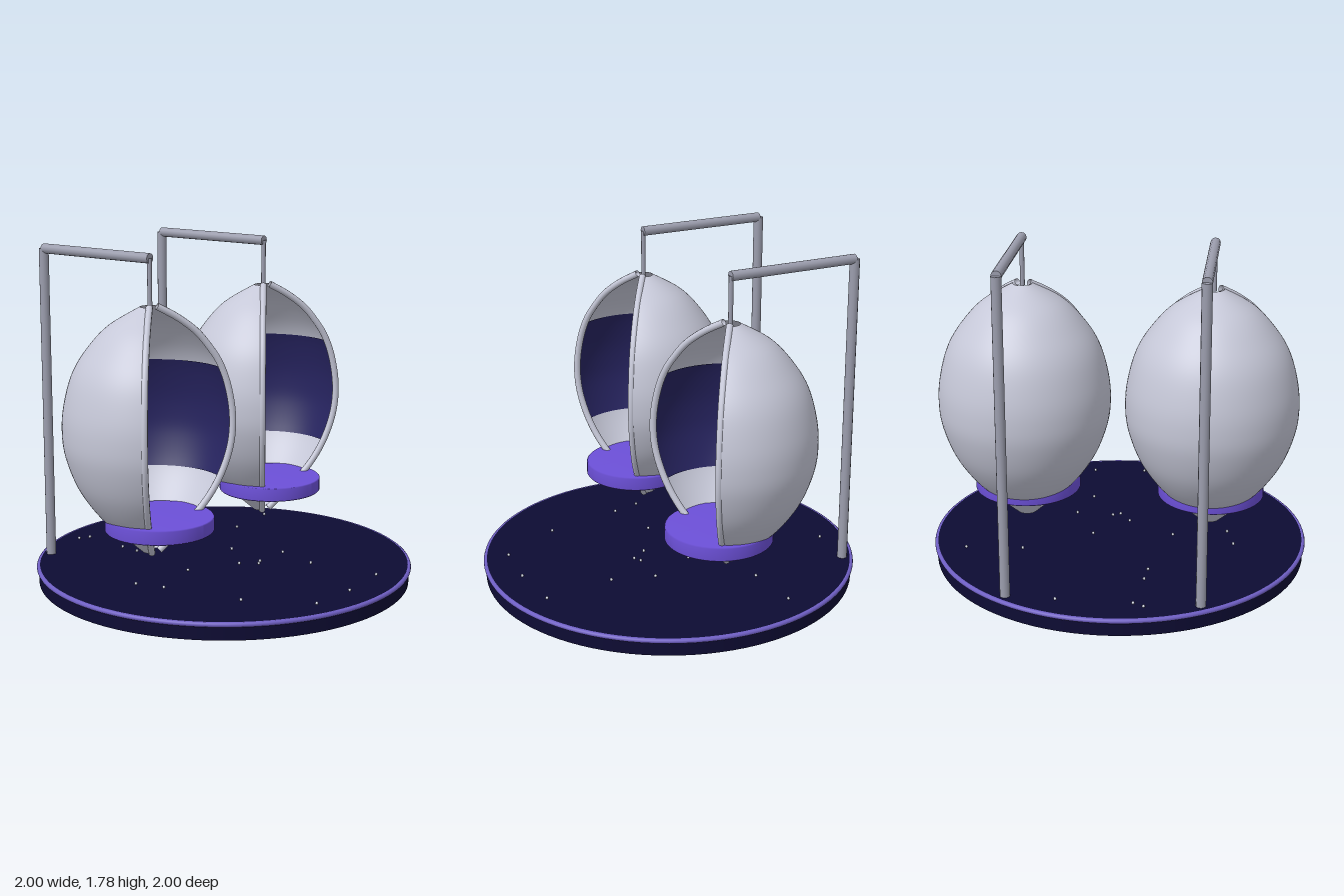
import * as THREE from 'three';

const mat = (name, color, side = THREE.FrontSide) => {
  const m = new THREE.MeshStandardMaterial({ color, side });
  m.name = name;
  return m;
};

export function createModel() {
  const shellGrey = mat('pale shell grey', 0xc6c8d8, THREE.DoubleSide);
  const metal = mat('brushed metal', 0x9c9eae);
  const violet = mat('violet cushion', 0x6c50d8);
  const padding = mat('indigo padding', 0x26235f, THREE.DoubleSide);
  const navy = mat('night navy', 0x0d0b33);
  const rimPurple = mat('rim purple', 0x6f5fc4);
  const starWhite = mat('star white', 0xd4d8e6);

  const model = new THREE.Group();
  model.name = 'hangingPodChairs';
  const add = (parent, name, geometry, material, x = 0, y = 0, z = 0) => {
    const mesh = new THREE.Mesh(geometry, material);
    mesh.name = name;
    mesh.position.set(x, y, z);
    parent.add(mesh);
    return mesh;
  };

  // Round platform with a thin rounded rim
  add(model, 'platform', new THREE.CylinderGeometry(0.988, 0.988, 0.092, 96), navy, 0, 0.046, 0);
  const rim = new THREE.TorusGeometry(0.987, 0.013, 10, 96).rotateX(Math.PI / 2);
  add(model, 'platformRim', rim, rimPurple, 0, 0.08, 0);

  // Small star studs scattered over the platform
  const stars = [
    [-0.21, -0.85], [-0.155, -0.82], [0.235, -0.82], [-0.185, -0.555], [-0.195, -0.445],
    [-0.04, 0.13], [0.02, 0.215], [0.06, 0.195], [0.26, 0.205], [0.195, 0.43],
    [-0.5, 0.475], [-0.32, 0.805], [-0.055, 0.83], [0.235, 0.81],
    [-0.62, -0.1], [-0.58, 0.05], [-0.29, -0.02], [0.14, -0.05], [0.49, -0.27], [0.79, -0.29],
  ];
  const starGeometry = new THREE.SphereGeometry(0.008, 8, 6);
  stars.forEach(([x, z]) => add(model, 'starStud', starGeometry, starWhite, x, 0.099, z));

  // Egg profile, radius against height
  const profile = new THREE.SplineCurve([
    [0.05, 0.24], [0.185, 0.36], [0.285, 0.46], [0.378, 0.6], [0.436, 0.76], [0.45, 0.89],
    [0.438, 1.02], [0.396, 1.17], [0.325, 1.29], [0.215, 1.41], [0.05, 1.51],
  ].map(([r, y]) => new THREE.Vector2(r, y))).getPoints(60);

  // The shell is open at the front by this angle on each side
  const half = 0.965;
  const sweep = Math.PI * 2 - half * 2;
  const shellGeometry = new THREE.LatheGeometry(profile, 64, half, sweep);
  const padProfile = profile
    .filter((p) => p.y > 0.58 && p.y < 1.18)
    .map((p) => new THREE.Vector2(p.x - 0.008, p.y));
  const padGeometry = new THREE.LatheGeometry(padProfile, 64, half, sweep);

  // Rounded lip along one edge of the opening
  const lipGeometry = (side) => new THREE.TubeGeometry(
    new THREE.CatmullRomCurve3(profile.filter((p, i) => i % 4 === 0).map((p) => {
      const r = Math.max(p.x - 0.014, 0.03);
      return new THREE.Vector3(side * r * Math.sin(half), p.y, r * Math.cos(half));
    })), 60, 0.018, 10);

  // Cushion with softly bevelled edges
  const cushionGeometry = new THREE.LatheGeometry([
    [0, 0], [0.274, 0], [0.28, 0.006], [0.28, 0.07], [0.274, 0.076], [0, 0.076],
  ].map(([r, y]) => new THREE.Vector2(r, y)), 48);
  cushionGeometry.computeVertexNormals();

  for (const side of [1, -1]) {
    const chair = new THREE.Group();
    chair.name = side > 0 ? 'leftChair' : 'rightChair';
    chair.position.set(side * 0.49, 0, -0.095);
    model.add(chair);

    add(chair, 'podShell', shellGeometry, shellGrey);
    add(chair, 'podPadding', padGeometry, padding);
    add(chair, 'openingLipLeft', lipGeometry(1), shellGrey);
    add(chair, 'openingLipRight', lipGeometry(-1), shellGrey);
    add(chair, 'seatCushion', cushionGeometry, violet, 0, 0.363, 0.05);

    // Stand: post, overhead arm and hanger rod
    add(chair, 'post', new THREE.CylinderGeometry(0.026, 0.026, 1.66, 12), metal, 0, 0.92, -0.708);
    const arm = new THREE.CylinderGeometry(0.026, 0.026, 0.71, 12).rotateX(Math.PI / 2);
    add(chair, 'overheadArm', arm, metal, 0, 1.75, -0.352);
    add(chair, 'hangerRod', new THREE.CylinderGeometry(0.012, 0.012, 0.25, 10), metal, 0, 1.625, 0);
  }
  return model;
}
